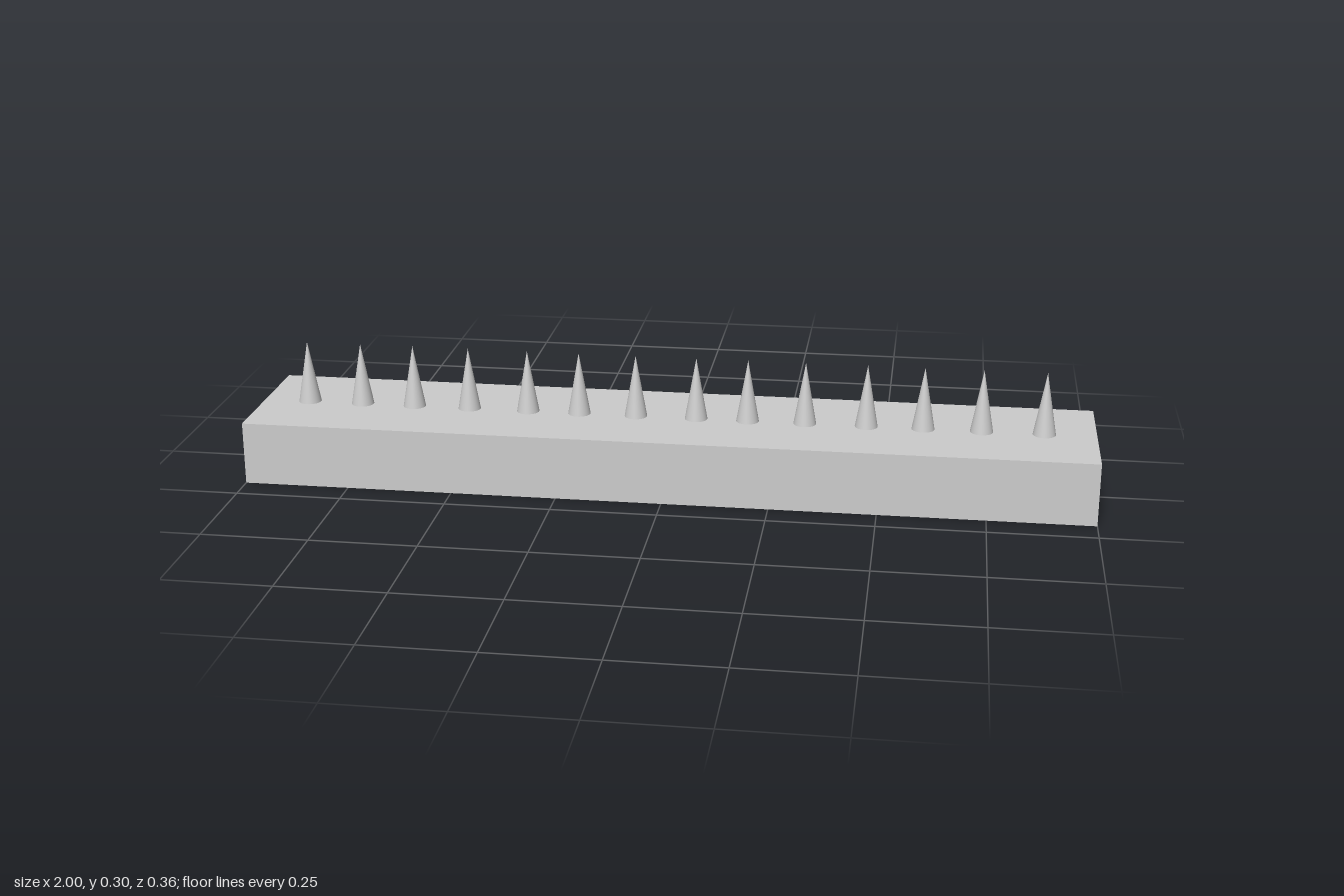
import * as THREE from 'three';

const BASE = { width: 2, height: 0.15, depth: 0.363 };
const SPIKE = { radius: 0.027, height: 0.151, sides: 32 };

// Slightly uneven spacing of the spikes along the base
const SPIKE_X = [-0.888, -0.756, -0.627, -0.491, -0.347, -0.222, -0.085,
  0.06, 0.183, 0.319, 0.464, 0.597, 0.733, 0.878];

export function createModel() {
  const model = new THREE.Group();
  model.name = 'spikeStrip';
  const material = new THREE.MeshStandardMaterial({ color: 0xcccccc });

  // Solid rectangular base
  const base = new THREE.Mesh(new THREE.BoxGeometry(BASE.width, BASE.height, BASE.depth), material);
  base.name = 'base';
  base.position.y = BASE.height / 2;
  model.add(base);

  // Row of smooth cones standing on the base
  const spikes = new THREE.Group();
  spikes.name = 'spikes';
  const cone = new THREE.ConeGeometry(SPIKE.radius, SPIKE.height, SPIKE.sides);
  SPIKE_X.forEach((x, i) => {
    const spike = new THREE.Mesh(cone, material);
    spike.name = `spike${i + 1}`;
    spike.position.set(x, BASE.height + SPIKE.height / 2, 0);
    spikes.add(spike);
  });
  model.add(spikes);

  return model;
}
